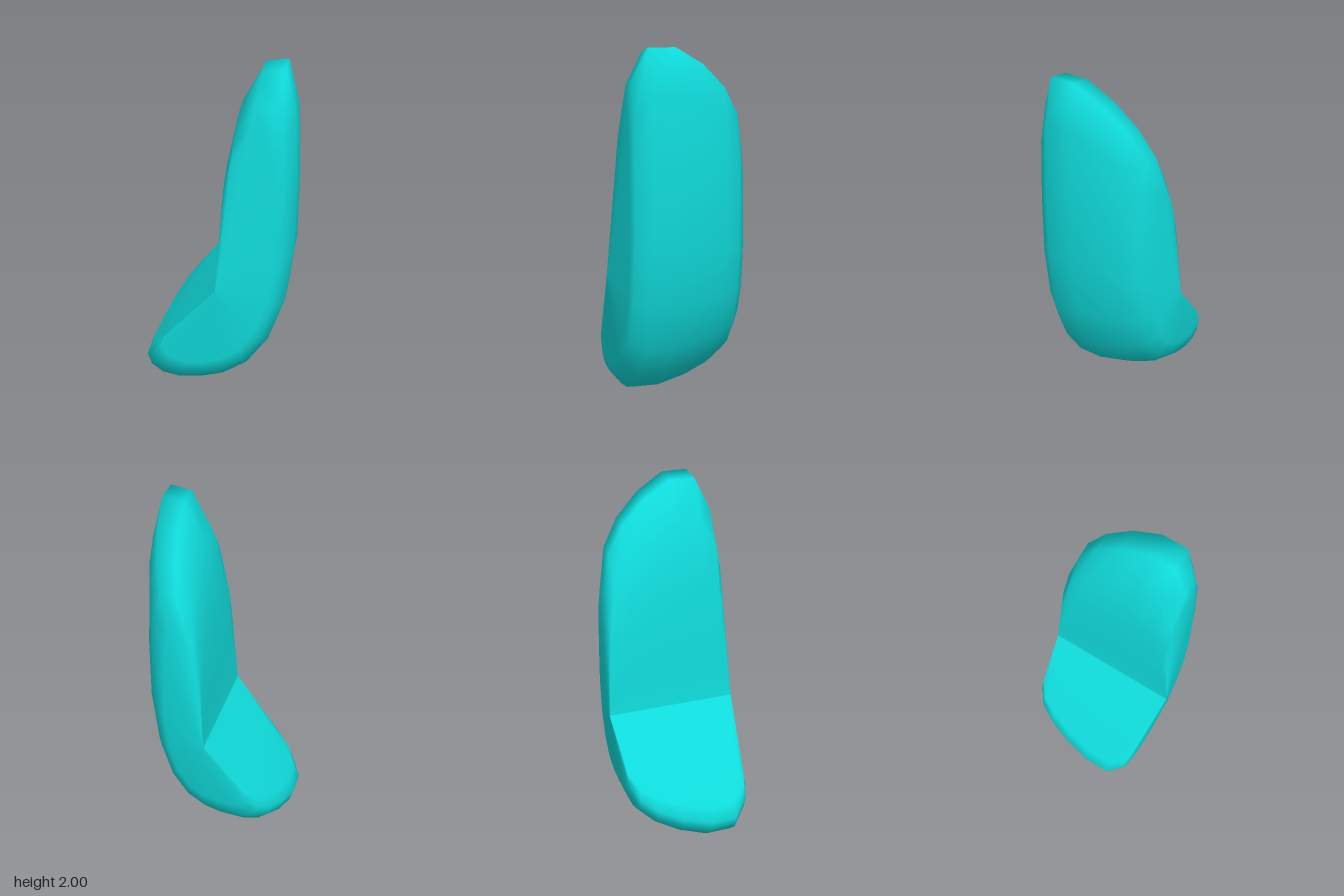
import * as THREE from 'three';

// Outline across the bend, from the crease up the wall, over the top,
// down the rounded outer side and around the toe back to the crease.
const CREASE = [0, 0.71];
const OUTLINE = [
  CREASE, [0.01, 0.8], [0.02, 1.0], [0.045, 1.43], [0.11, 1.75], [0.23, 1.98],
  [0.35, 2.0], [0.41, 1.75], [0.425, 1.35], [0.42, 0.95], [0.375, 0.6],
  [0.285, 0.33], [0.16, 0.15], [0.02, 0.055], [-0.11, 0.015], [-0.24, 0],
  [-0.34, 0.02], [-0.405, 0.07], [-0.43, 0.14], [-0.395, 0.225], [-0.2, 0.465], CREASE,
];

// Slices from front to back: [z, scale of the outline about the crease]
const SLICES = [
  [0.376, 0], [0.33, 0.75], [0.313, 0.86], [0.23, 1], [0.08, 1],
  [-0.08, 0.93], [-0.217, 0.83], [-0.308, 0.715], [-0.355, 0.55], [-0.379, 0],
];

// Skin the slices; the outline stays open at the crease so it shades sharply
function skinSlices(outline, slices) {
  const n = outline.length;
  const positions = [];
  const index = [];
  for (const [z, s] of slices) {
    for (const [x, y] of outline) {
      positions.push(CREASE[0] + (x - CREASE[0]) * s, CREASE[1] + (y - CREASE[1]) * s, z);
    }
  }
  for (let k = 0; k < slices.length - 1; k++) {
    for (let j = 0; j < n - 1; j++) {
      const a = k * n + j, b = a + 1, c = a + n, d = c + 1;
      // skip the collapsed triangles at the two end points and along the crease
      if (slices[k][1] > 0 && j < n - 2) index.push(a, b, c);
      else if (slices[k][1] > 0) index.push(a, b, c);
      if (slices[k + 1][1] > 0) index.push(b, d, c);
    }
  }
  const geometry = new THREE.BufferGeometry();
  geometry.setAttribute('position', new THREE.Float32BufferAttribute(positions, 3));
  geometry.setIndex(index);
  geometry.computeVertexNormals();
  return geometry;
}

export function createModel() {
  const group = new THREE.Group();
  group.name = 'bentCushion';
  const material = new THREE.MeshStandardMaterial({ color: 0x10dcdc });
  const body = new THREE.Mesh(skinSlices(OUTLINE, SLICES), material);
  body.name = 'cushionBody';
  group.add(body);
  return group;
}
